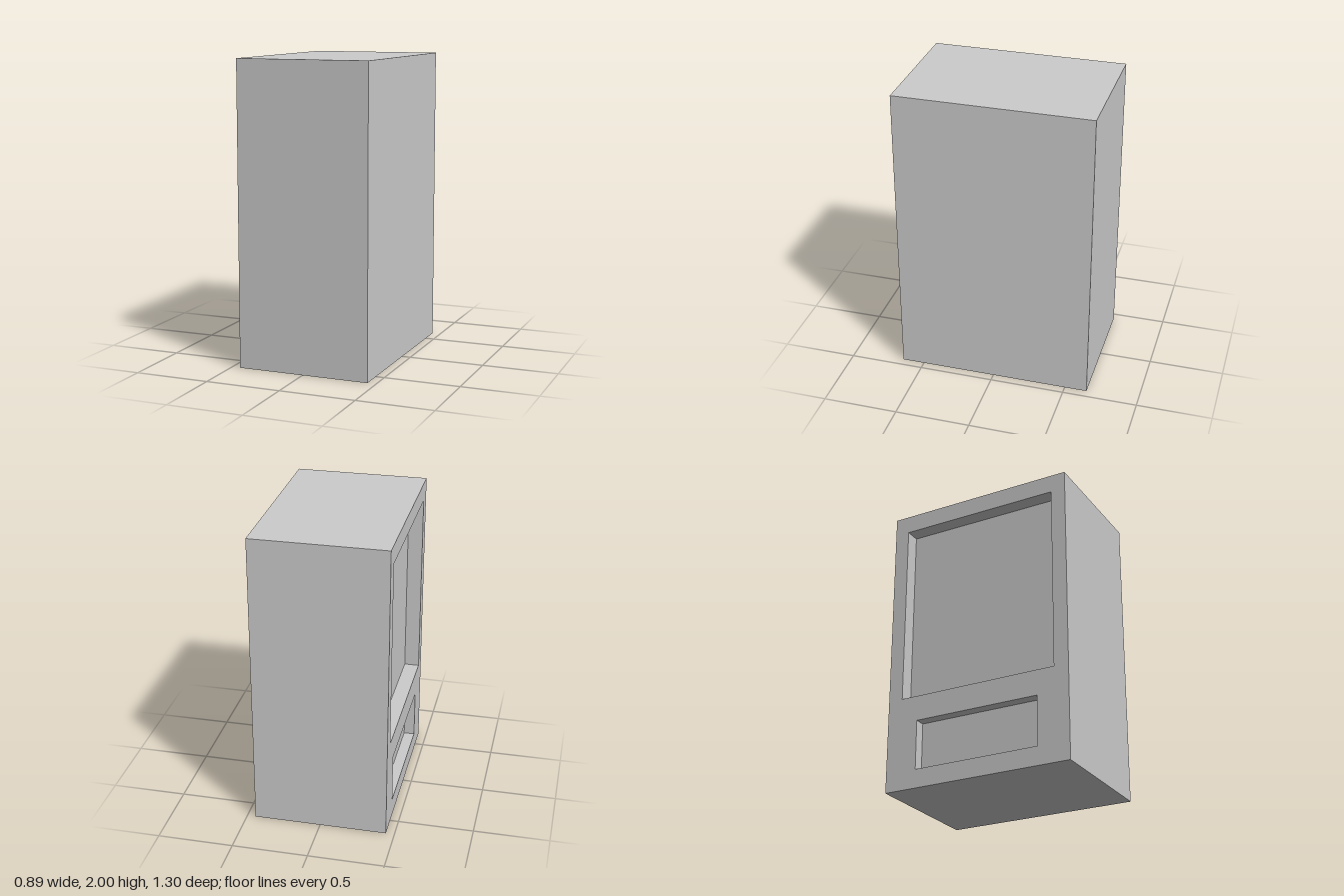
import * as THREE from 'three';

const W = 0.886, H = 2, D = 1.3;

// Recesses in the -x side: half width along z, bottom, top, depth
const RECESSES = [
  { name: 'displayWindow', half: 0.55, bottom: 0.626, top: 1.877, depth: 0.1 },
  { name: 'dispenserSlot', half: 0.432, bottom: 0.125, top: 0.456, depth: 0.072 },
];

const material = new THREE.MeshStandardMaterial({ color: 0xcccccc });

// Box without its -x face; inward turns the faces to look into the box
function openBox(w, h, d, inward) {
  const geometry = new THREE.BoxGeometry(w, h, d);
  const index = Array.from(geometry.index.array);
  index.splice(6, 6);
  if (inward) index.reverse();
  geometry.clearGroups();
  geometry.setIndex(index);
  geometry.computeVertexNormals();
  return geometry;
}

function rectangle(path, half, bottom, top) {
  path.moveTo(-half, bottom);
  path.lineTo(half, bottom);
  path.lineTo(half, top);
  path.lineTo(-half, top);
  path.closePath();
  return path;
}

export function createModel() {
  const group = new THREE.Group();
  group.name = 'vendingCabinet';
  const add = (name, geometry, x, y) => {
    const mesh = new THREE.Mesh(geometry, material);
    mesh.name = name;
    mesh.position.set(x, y, 0);
    group.add(mesh);
  };

  // Plain cabinet shell
  add('cabinet', openBox(W, H, D, false), 0, H / 2);

  // Side panel with both openings cut out
  const panel = rectangle(new THREE.Shape(), D / 2, 0, H);
  for (const r of RECESSES) panel.holes.push(rectangle(new THREE.Path(), r.half, r.bottom, r.top));
  add('servicePanel', new THREE.ShapeGeometry(panel).rotateY(-Math.PI / 2), -W / 2, 0);

  // Sunken walls and floors behind the openings
  for (const r of RECESSES) {
    const box = openBox(r.depth, r.top - r.bottom, 2 * r.half, true);
    add(r.name, box, -W / 2 + r.depth / 2, (r.top + r.bottom) / 2);
  }
  return group;
}
